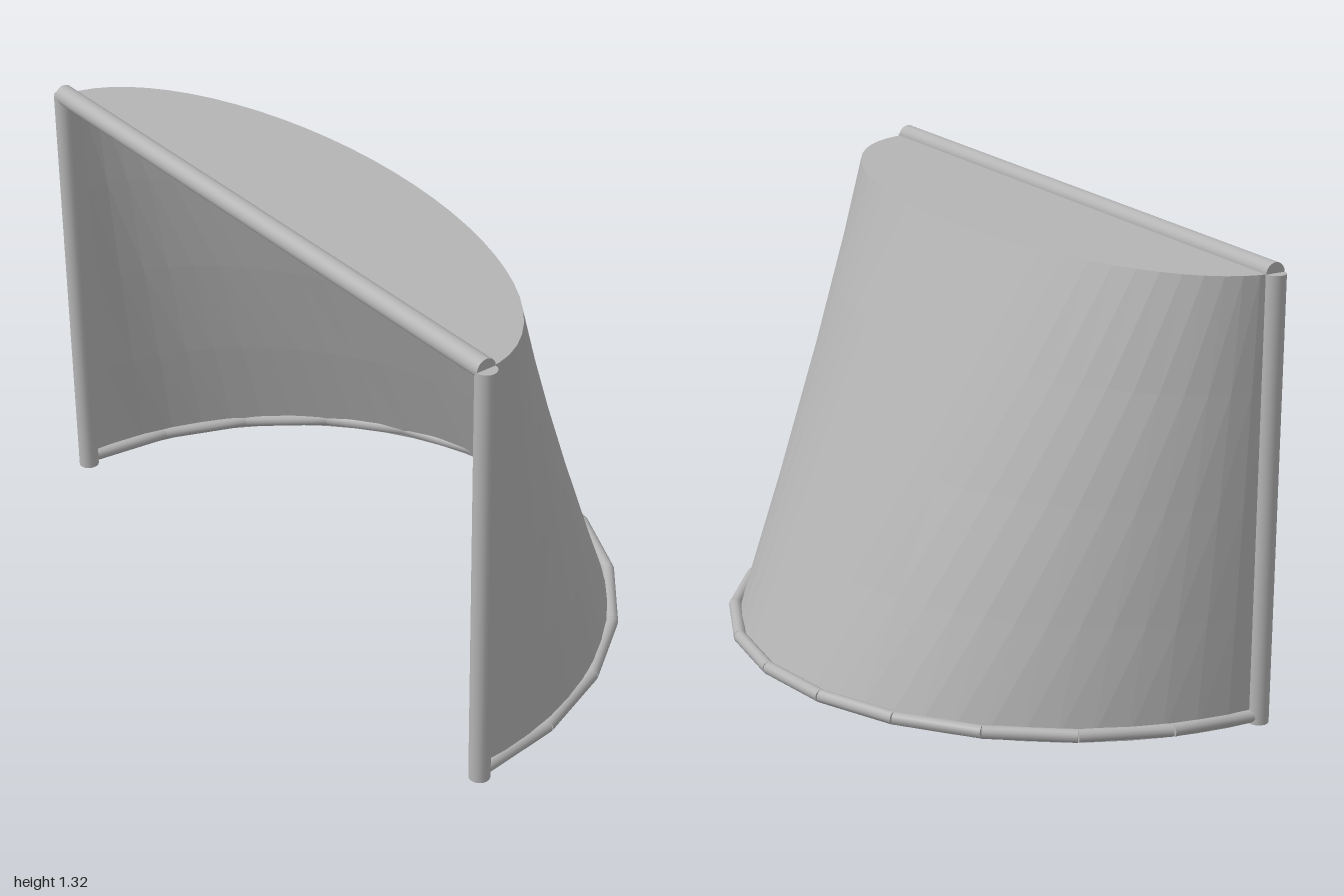
import * as THREE from 'three';

const H = 1.285;      // height of the canopy top
const BACK = -0.51;   // x of the open straight side
const DEPTH = 0.97;   // half width along z

export function createModel() {
  const group = new THREE.Group();
  const grey = new THREE.MeshStandardMaterial({ color: 0xb4b4b4 });
  grey.name = 'grey';
  const sheet = new THREE.MeshStandardMaterial({ color: 0xb4b4b4, side: THREE.DoubleSide, flatShading: true });
  sheet.name = 'grey sheet';

  const add = (name, geometry, material = grey) => {
    const mesh = new THREE.Mesh(geometry, material);
    mesh.name = name;
    group.add(mesh);
    return mesh;
  };

  // Round bar between two points
  const bar = (name, a, b, radius, sides = 20) => {
    const dir = b.clone().sub(a);
    const mesh = add(name, new THREE.CylinderGeometry(radius, radius, dir.length(), sides));
    mesh.position.copy(a).add(b).multiplyScalar(0.5);
    mesh.quaternion.setFromUnitVectors(new THREE.Vector3(0, 1, 0), dir.normalize());
    return mesh;
  };

  // Point on a half ellipse, t from 0 to 1 along z
  const arc = (t, rx, rz, y) => {
    const a = (t - 0.5) * Math.PI;
    return new THREE.Vector3(BACK + rx * Math.cos(a), y, -rz * Math.sin(a));
  };

  // Sloping curved shell: wide half ellipse below, narrow one on top
  const shell = new THREE.PlaneGeometry(1, 1, 32, 4);
  const pos = shell.attributes.position;
  for (let i = 0; i < pos.count; i++) {
    const v = pos.getY(i) + 0.5;
    const p = arc(pos.getX(i) + 0.5, 1.01 - 0.55 * v, DEPTH, H * v);
    pos.setXYZ(i, p.x, p.y, p.z);
  }
  shell.computeVertexNormals();
  add('curvedShell', shell, sheet);

  // Flat half-ellipse top
  const cap = new THREE.CircleGeometry(1, 32, -Math.PI / 2, Math.PI);
  cap.scale(0.46, DEPTH, 1).rotateX(-Math.PI / 2).translate(BACK, H, 0);
  add('topPanel', cap, sheet);

  // Frame of the open side
  for (const s of [-1, 1]) {
    bar(s > 0 ? 'frontPost' : 'rearPost',
      new THREE.Vector3(BACK, 0, s * DEPTH), new THREE.Vector3(BACK, H, s * DEPTH), 0.03);
  }
  bar('topBar', new THREE.Vector3(BACK, H, -DEPTH), new THREE.Vector3(BACK, H, DEPTH), 0.03);

  // Segmented rim around the foot of the shell
  const N = 12;
  for (let i = 0; i < N; i++) {
    bar('footRim', arc(i / N, 1.022, 0.973, 0.022), arc((i + 1) / N, 1.022, 0.973, 0.022), 0.019, 12);
  }
  return group;
}
